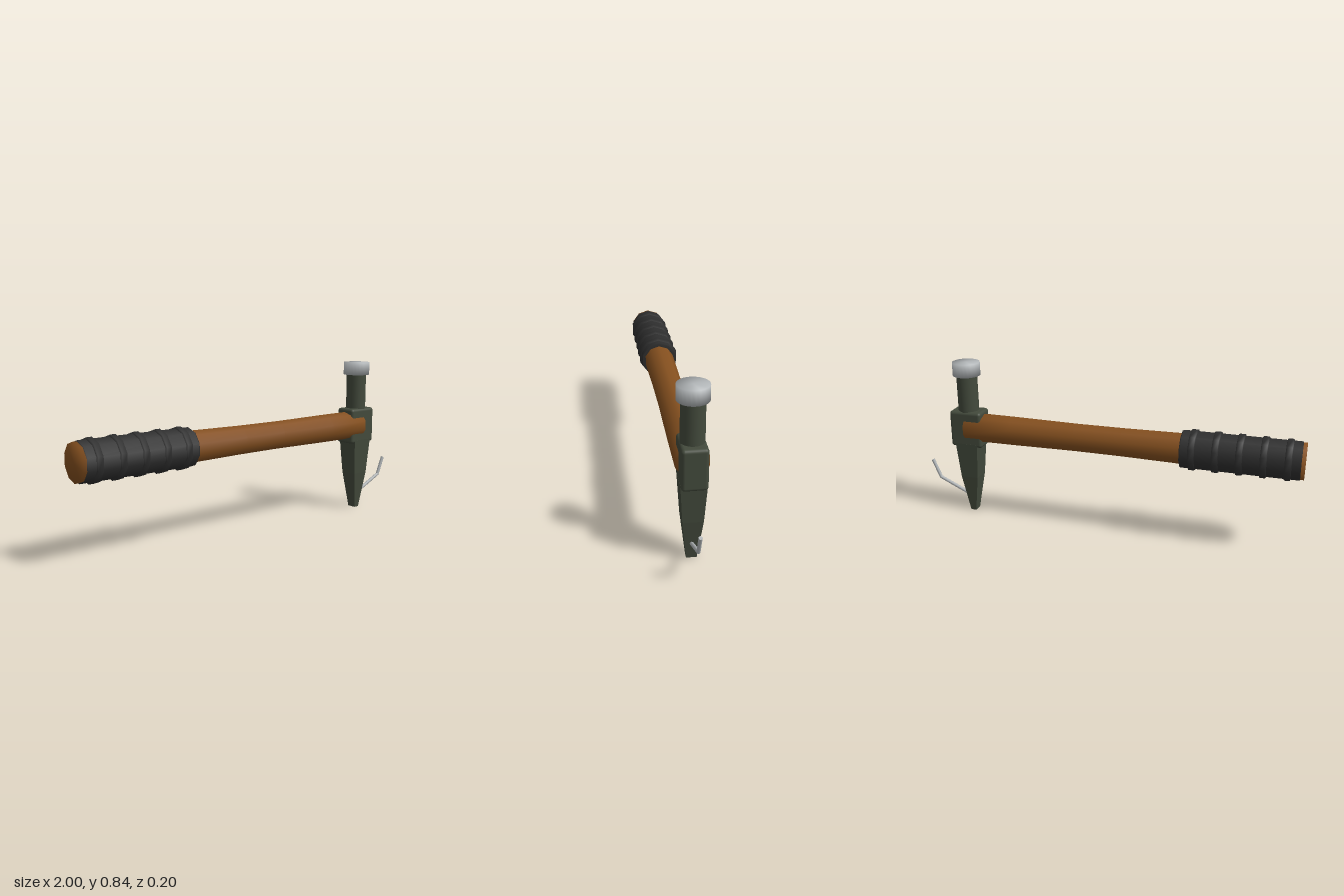
import * as THREE from 'three';
import { RoundedBoxGeometry } from 'three/addons/geometries/RoundedBoxGeometry.js';

const paint = (name, color) => {
  const m = new THREE.MeshStandardMaterial({ color });
  m.name = name;
  return m;
};

export function createModel() {
  const wood = paint('wood', 0x85501f);
  const rubber = paint('rubber', 0x2e2e2e);
  const iron = paint('iron', 0x434a3c);
  const steel = paint('steel', 0xb2b6b8);

  const model = new THREE.Group();
  model.name = 'hammer';
  const add = (name, geometry, material) => {
    const mesh = new THREE.Mesh(geometry, material);
    mesh.name = name;
    model.add(mesh);
    return mesh;
  };

  const gripY = 0.482, headX = 0.748;

  // Turned profile: [radius, distance along the axis]
  const turned = (points, sides) =>
    new THREE.LatheGeometry(points.map(([r, d]) => new THREE.Vector2(r, d)), sides, Math.PI / 2);
  // Ten-sided turned piece lying along x
  const alongX = (points) => turned(points, 10).rotateZ(-Math.PI / 2).translate(0, gripY, 0);

  // Wooden handle, flared at the butt and slightly waisted
  add('handle', alongX([
    [0, -1], [0.093, -1], [0.09, -0.9], [0.08, -0.5], [0.079, -0.4],
    [0.074, -0.1], [0.073, 0.15], [0.077, 0.5], [0.078, 0.755], [0, 0.755],
  ]), wood);

  // Rubber sleeve and its raised bands
  add('grip', alongX([
    [0.086, -0.985], [0.097, -0.98], [0.097, -0.408], [0.094, -0.403], [0.07, -0.403],
  ]), rubber);
  for (let i = 0; i < 5; i++) {
    const x = -0.922 + i * 0.115;
    add('gripBand', alongX([
      [0.094, x - 0.018], [0.105, x - 0.013], [0.105, x + 0.013], [0.094, x + 0.018],
    ]), rubber);
  }

  // Head block
  add('headBlock', new RoundedBoxGeometry(0.176, 0.196, 0.117, 3, 0.016), iron)
    .position.set(headX, 0.48, 0);

  // Neck and striking face
  add('neck', new THREE.CylinderGeometry(0.054, 0.054, 0.24, 24), iron)
    .position.set(headX, 0.66, 0);
  add('strikingFace', turned([[0, 0.767], [0.0715, 0.767], [0.0715, 0.836], [0, 0.836]], 24), steel)
    .position.x = headX;

  // Tapering spike: a box whose three levels are resized
  const spike = new THREE.BoxGeometry(2, 2, 2, 1, 2, 1);
  const levels = [[0, 0.015, 0.024], [0.205, 0.047, 0.047], [0.4, 0.062, 0.059]];
  const pos = spike.attributes.position;
  for (let i = 0; i < pos.count; i++) {
    const [y, halfX, halfZ] = levels[Math.round(pos.getY(i)) + 1];
    pos.setXYZ(i, pos.getX(i) * halfX, y, pos.getZ(i) * halfZ);
  }
  const spikeFlat = spike.toNonIndexed();
  spikeFlat.computeVertexNormals();
  add('spike', spikeFlat, iron).position.x = headX;

  // Bent nail caught by the spike
  const bends = [[0.76, 0.076], [0.948, 0.163], [0.989, 0.26]].map(([x, y]) => new THREE.Vector3(x, y, 0.002));
  for (let i = 0; i < 2; i++) {
    const dir = bends[i + 1].clone().sub(bends[i]);
    const rod = add('bentNail', new THREE.CylinderGeometry(0.009, 0.009, dir.length() + 0.004, 8), steel);
    rod.position.copy(bends[i]).addScaledVector(dir, 0.5);
    rod.quaternion.setFromUnitVectors(new THREE.Vector3(0, 1, 0), dir.normalize());
  }

  return model;
}
